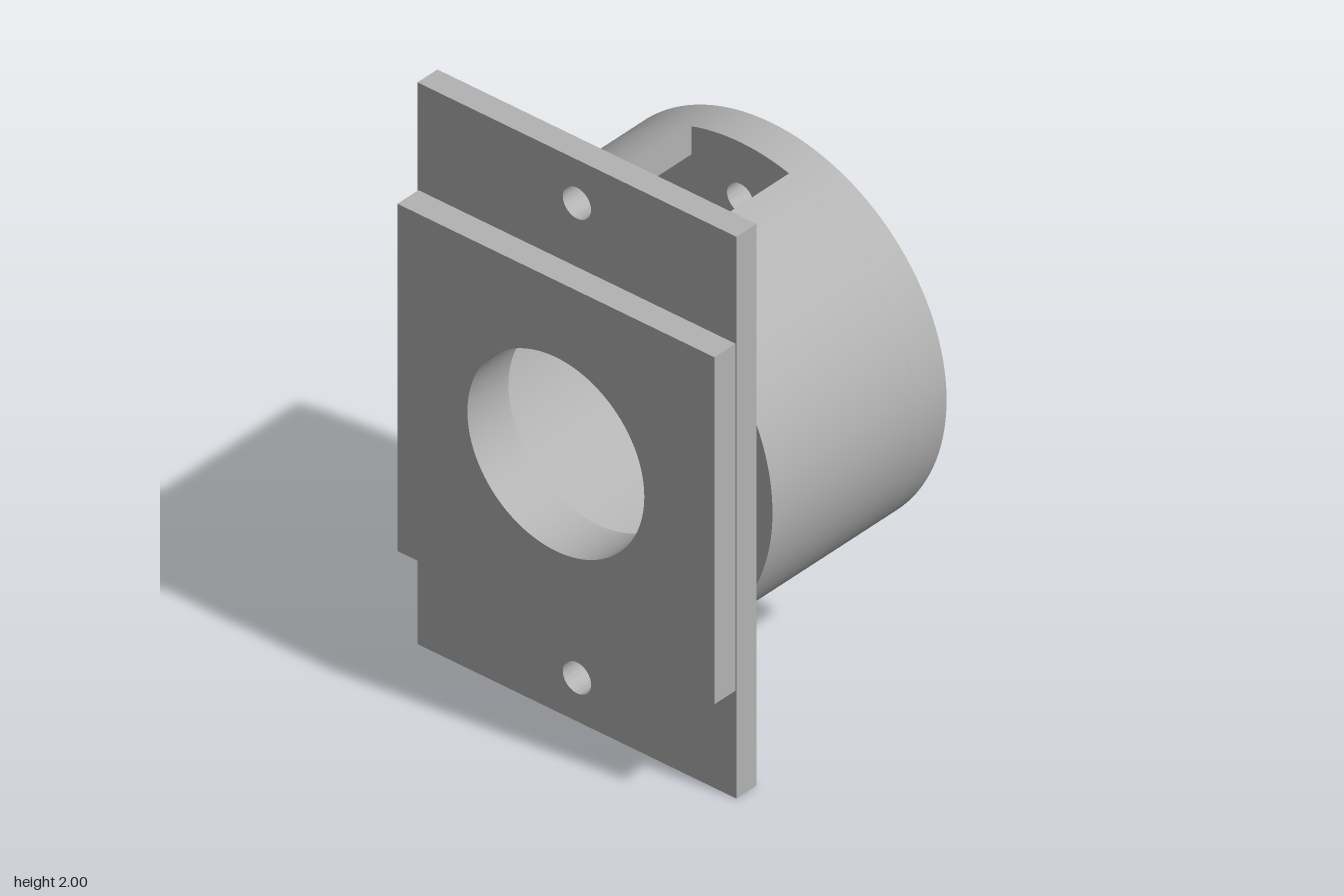
import * as THREE from 'three';
import { toCreasedNormals } from 'three/addons/utils/BufferGeometryUtils.js';

const grey = new THREE.MeshStandardMaterial({ color: 0xb3b3b3 });
grey.name = 'plain grey';

const CENTRE_Y = 1;
const OUTER = 0.685;   // housing radius
const INNER = 0.59;    // cavity radius
const BORE = 0.345;    // front bore radius
const SLOT = 0.19;     // half width of the top slot

function circleHole(x, y, r) {
  return new THREE.Path().absarc(x, y, r, 0, Math.PI * 2, true);
}

function rectangle(halfWidth, halfHeight) {
  return new THREE.Shape([
    new THREE.Vector2(-halfWidth, -halfHeight),
    new THREE.Vector2(halfWidth, -halfHeight),
    new THREE.Vector2(halfWidth, halfHeight),
    new THREE.Vector2(-halfWidth, halfHeight),
  ]);
}

// Extrudes a shape drawn around the bore axis from zBack to zFront.
function slab(name, shape, zBack, zFront) {
  const solid = new THREE.ExtrudeGeometry(shape, {
    depth: zFront - zBack, bevelEnabled: false, curveSegments: 64,
  });
  const mesh = new THREE.Mesh(toCreasedNormals(solid, Math.PI / 6), grey);
  mesh.name = name;
  mesh.position.set(0, CENTRE_Y, zBack);
  return mesh;
}

export function createModel() {
  const model = new THREE.Group();
  model.name = 'flangedHousing';

  // Raised square pad at the front
  const pad = rectangle(0.618, 0.618);
  pad.holes.push(circleHole(0, 0, BORE));
  model.add(slab('frontPad', pad, 0.39, 0.485));

  // Tall mounting plate with two bolt holes
  const plate = rectangle(0.622, 1);
  plate.holes.push(circleHole(0, 0, BORE));
  for (const side of [-1, 1]) plate.holes.push(circleHole(0, side * 0.845, 0.055));
  model.add(slab('mountingPlate', plate, 0.3, 0.39));

  // Hollow housing wall, open at the top through a straight-sided slot
  const outerAngle = Math.acos(SLOT / OUTER);
  const innerAngle = Math.acos(SLOT / INNER);
  const wall = new THREE.Shape();
  wall.absarc(0, 0, OUTER, outerAngle, Math.PI - outerAngle, true);
  wall.absarc(0, 0, INNER, Math.PI - innerAngle, innerAngle, false);
  wall.closePath();
  model.add(slab('housingWall', wall, -0.347, 0.3));

  // Back wall with a centre hole and a ring of six screw holes
  const back = new THREE.Shape().absarc(0, 0, OUTER, 0, Math.PI * 2, false);
  back.holes.push(circleHole(0, 0, 0.205));
  for (let i = 0; i < 6; i++) {
    const a = Math.PI / 2 + (i * Math.PI) / 3;
    back.holes.push(circleHole(0.485 * Math.cos(a), 0.485 * Math.sin(a), 0.052));
  }
  model.add(slab('backWall', back, -0.485, -0.347));

  return model;
}
